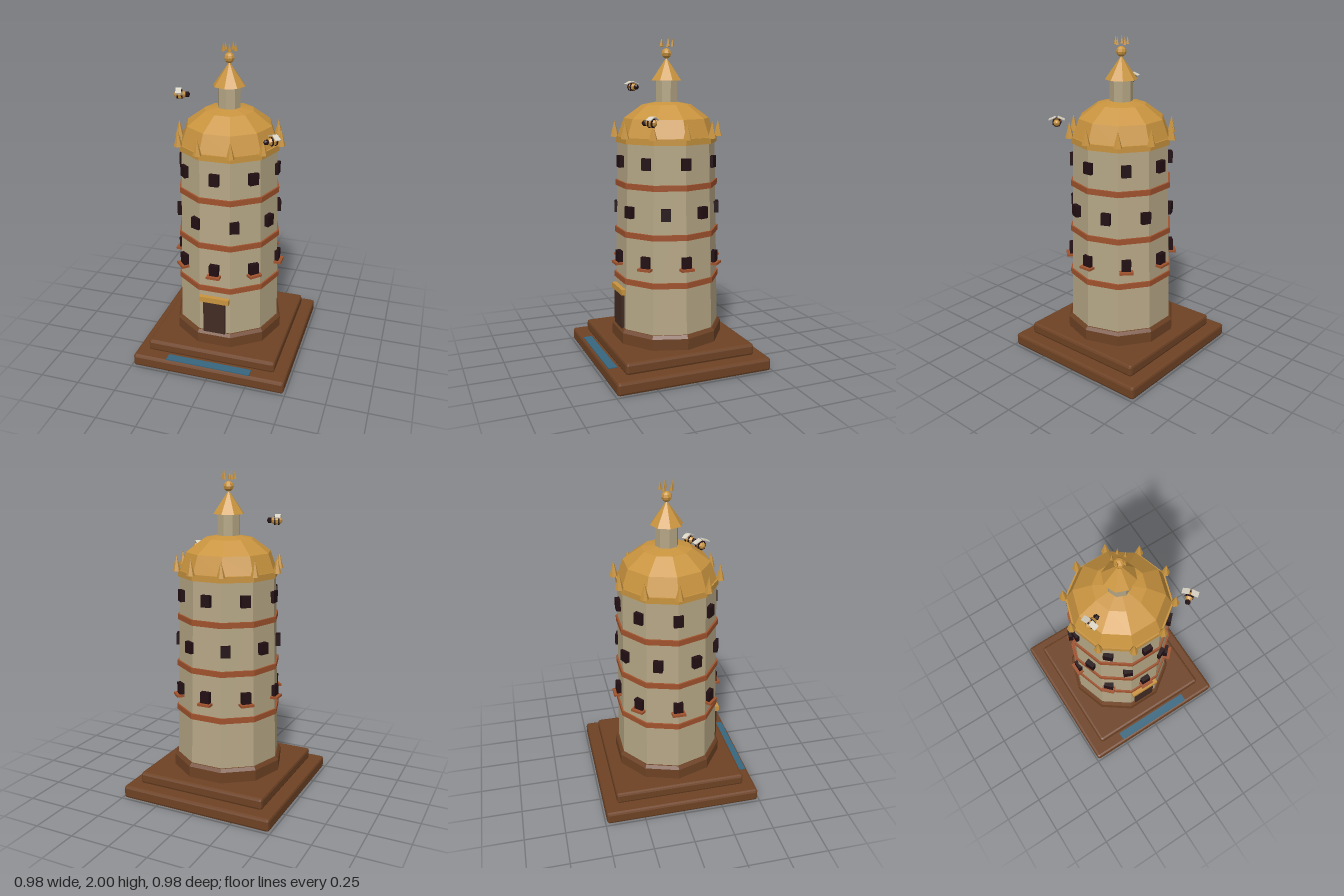
import * as THREE from 'three';
import { RoundedBoxGeometry } from 'three/addons/geometries/RoundedBoxGeometry.js';

const material = (name, color) => {
  const m = new THREE.MeshStandardMaterial({ color, flatShading: true });
  m.name = name;
  return m;
};

export function createModel() {
  const wood = material('brown wood', 0x6e4224);
  const stone = material('pale stone', 0xb5a685);
  const gold = material('honey gold', 0xc9943f);
  const clay = material('clay band', 0xa0522d);
  const dark = material('dark window', 0x220f13);
  const doorWood = material('door brown', 0x422c23);
  const blue = material('blue plate', 0x36667f);
  const wingWhite = material('wing white', 0xd9d3c3);

  const model = new THREE.Group();
  model.name = 'beehiveTower';

  function add(parent, name, geometry, mat, x = 0, y = 0, z = 0) {
    const mesh = new THREE.Mesh(geometry, mat);
    mesh.name = name;
    mesh.position.set(x, y, z);
    parent.add(mesh);
    return mesh;
  }

  // Ten-sided drum with a flat face towards the front
  const SIDES = 10;
  function drum(name, rTop, rBottom, y0, y1, mat) {
    const g = new THREE.CylinderGeometry(rTop, rBottom, y1 - y0, SIDES);
    g.rotateY(Math.PI / SIDES);
    return add(model, name, g, mat, 0, (y0 + y1) / 2, 0);
  }

  // Stepped base with chamfered edges, and the plate on its front ledge
  add(model, 'lowerBase', new RoundedBoxGeometry(0.98, 0.08, 0.98, 1, 0.016), wood, 0, 0.042, 0);
  add(model, 'upperBase', new RoundedBoxGeometry(0.825, 0.073, 0.825, 1, 0.016), wood, 0, 0.12, 0);
  add(model, 'frontPlate', new THREE.BoxGeometry(0.54, 0.008, 0.054), blue, 0, 0.083, 0.449);

  // Plinth and tapering wall
  drum('plinth', 0.347, 0.347, 0.15, 0.225, wood);
  drum('plinthBevel', 0.333, 0.347, 0.225, 0.245, wood);
  drum('towerWall', 0.298, 0.325, 0.245, 1.38, stone);

  // Bands between the floors
  [[0.548, 0.328], [0.837, 0.322], [1.13, 0.315]].forEach(([y, r]) =>
    drum('floorBand', r, r, y - 0.017, y + 0.017, clay));

  // Door and lintel
  add(model, 'door', new THREE.BoxGeometry(0.14, 0.22, 0.04), doorWood, 0, 0.352, 0.305);
  add(model, 'doorLintel', new THREE.BoxGeometry(0.19, 0.035, 0.04), gold, 0, 0.477, 0.311);

  // Three rings of eight windows; the middle ring is turned by half a step
  const floors = [
    { y: 0.685, r: 0.312, turn: 0, sill: true },
    { y: 0.975, r: 0.306, turn: 0.5, sill: false },
    { y: 1.268, r: 0.296, turn: 0, sill: false },
  ];
  for (const { y, r, turn, sill } of floors) {
    for (let i = 0; i < 8; i++) {
      const bay = new THREE.Group();
      bay.name = 'windowBay';
      bay.rotation.y = ((i + turn) * Math.PI) / 4;
      add(bay, 'window', new THREE.BoxGeometry(0.057, 0.07, 0.034), dark, 0, y, r);
      if (sill) add(bay, 'windowSill', new THREE.BoxGeometry(0.083, 0.014, 0.045), clay, 0, y - 0.04, 0.326);
      model.add(bay);
    }
  }

  // Rim, faceted dome and a ring of finials on the corners
  drum('domeRim', 0.309, 0.309, 1.378, 1.415, gold);
  const dome = new THREE.SphereGeometry(0.3, SIDES, 3, 0, Math.PI * 2, 0, Math.PI / 2);
  dome.scale(1, 0.22 / 0.3, 1);
  add(model, 'dome', dome, gold, 0, 1.413, 0);
  for (let i = 0; i < SIDES; i++) {
    const a = (i * Math.PI * 2) / SIDES;
    add(model, 'rimFinial', new THREE.ConeGeometry(0.026, 0.1, 6), gold,
      0.317 * Math.cos(a), 1.46, 0.317 * Math.sin(a));
  }

  // Lantern, its roof, ball and crown of spikes
  add(model, 'lantern', new THREE.CylinderGeometry(0.069, 0.069, 0.13, 8), stone, 0, 1.685, 0);
  add(model, 'lanternRoof', new THREE.ConeGeometry(0.097, 0.137, 8), gold, 0, 1.815, 0);
  add(model, 'topBall', new THREE.SphereGeometry(0.031, 8, 6), gold, 0, 1.907, 0);
  for (let i = 0; i < 5; i++) {
    const a = (i * Math.PI * 2) / 5;
    add(model, 'crownSpike', new THREE.ConeGeometry(0.011, 0.05, 4), gold,
      0.037 * Math.cos(a), 1.972, 0.037 * Math.sin(a));
  }

  // Bee: its head points along +x before it is turned
  function bee(x, y, z, turn) {
    const g = new THREE.Group();
    g.name = 'bee';
    g.position.set(x, y, z);
    g.rotation.y = turn;
    const body = new THREE.SphereGeometry(0.026, 7, 5);
    body.rotateZ(Math.PI / 2);
    body.scale(1.4, 1, 1);
    add(g, 'beeBody', body, gold);
    for (const sx of [-0.014, 0.01]) {
      const stripe = new THREE.CylinderGeometry(0.0265, 0.0265, 0.009, 7);
      stripe.rotateZ(Math.PI / 2);
      add(g, 'beeStripe', stripe, dark, sx, 0, 0);
    }
    add(g, 'beeHead', new THREE.IcosahedronGeometry(0.018, 0), dark, 0.042, 0, 0);
    for (const s of [-1, 1]) {
      const wing = add(g, 'beeWing', new THREE.BoxGeometry(0.033, 0.005, 0.044), wingWhite, -0.008, 0.026, s * 0.026);
      wing.rotation.x = s * 0.4;
    }
    model.add(g);
  }
  bee(-0.257, 1.706, 0.129, 0.3);
  bee(0.322, 1.512, 0.222, Math.PI + 0.7);

  return model;
}
